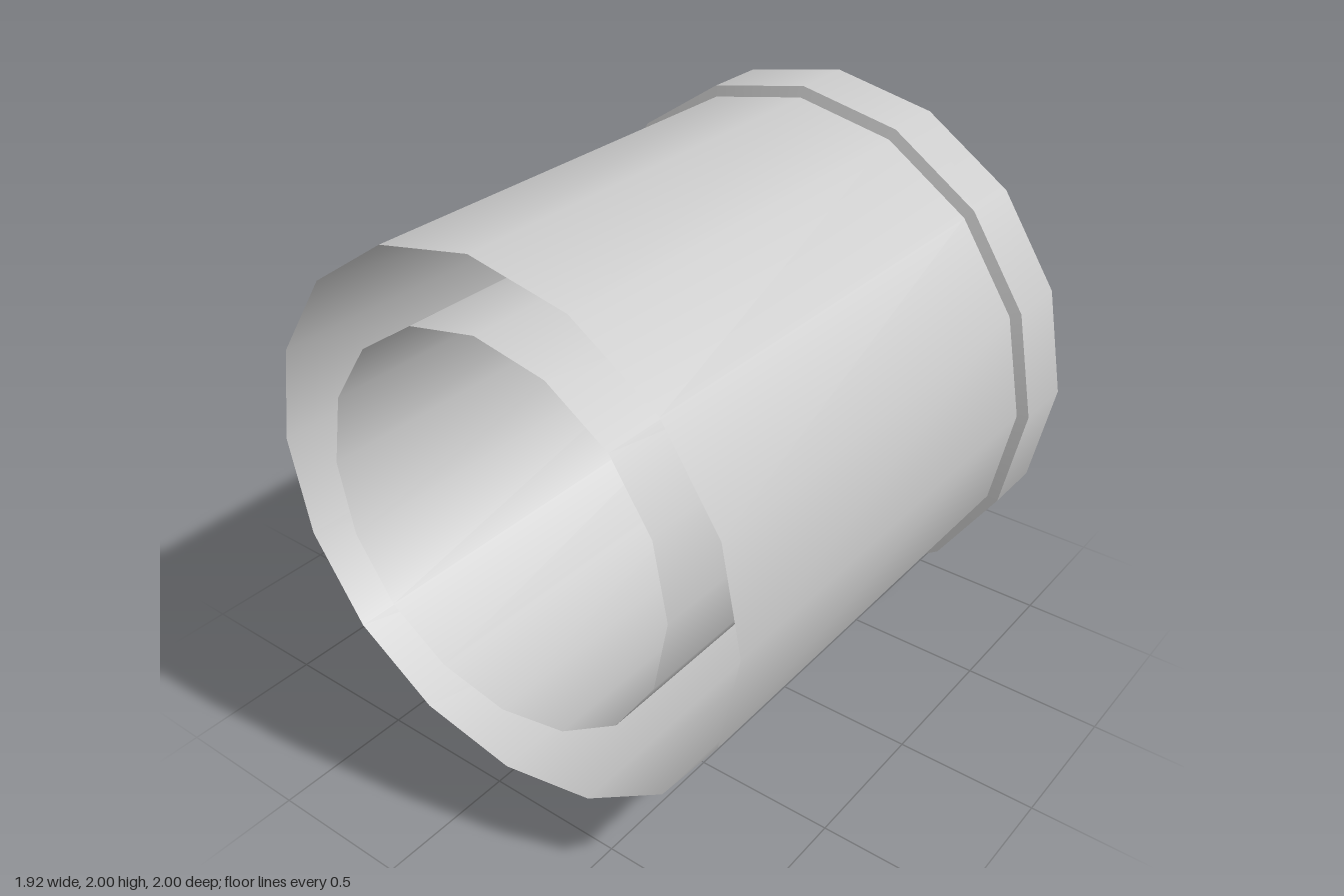
import * as THREE from 'three';

const SIDES = 16;

export function createModel() {
  const group = new THREE.Group();
  group.name = 'flangedSleeve';
  const material = new THREE.MeshStandardMaterial({ color: 0xcccccc, side: THREE.DoubleSide });

  // One smooth band turned around the x axis, from (x0, r0) to (x1, r1);
  // separate bands keep the edges between them sharp
  const band = (name, x0, r0, x1, r1) => {
    const profile = [new THREE.Vector2(r0, x0), new THREE.Vector2(r1, x1)];
    const geometry = new THREE.LatheGeometry(profile, SIDES);
    geometry.rotateZ(-Math.PI / 2);
    const mesh = new THREE.Mesh(geometry, material);
    mesh.name = name;
    mesh.position.y = 1;
    group.add(mesh);
  };

  // Outer shell, open at the -x end
  band('outerShell', -0.96, 0.962, 0.71, 0.962);
  // Raised collar with a small chamfer and a flat ring face
  band('collarChamfer', 0.71, 0.962, 0.725, 1);
  band('collarRim', 0.725, 1, 0.96, 1);
  band('endRing', 0.96, 1, 0.96, 0.705);
  // Inner tube, leaving a hollow gap behind the ring
  band('innerTube', 0.96, 0.705, -0.96, 0.705);

  return group;
}
